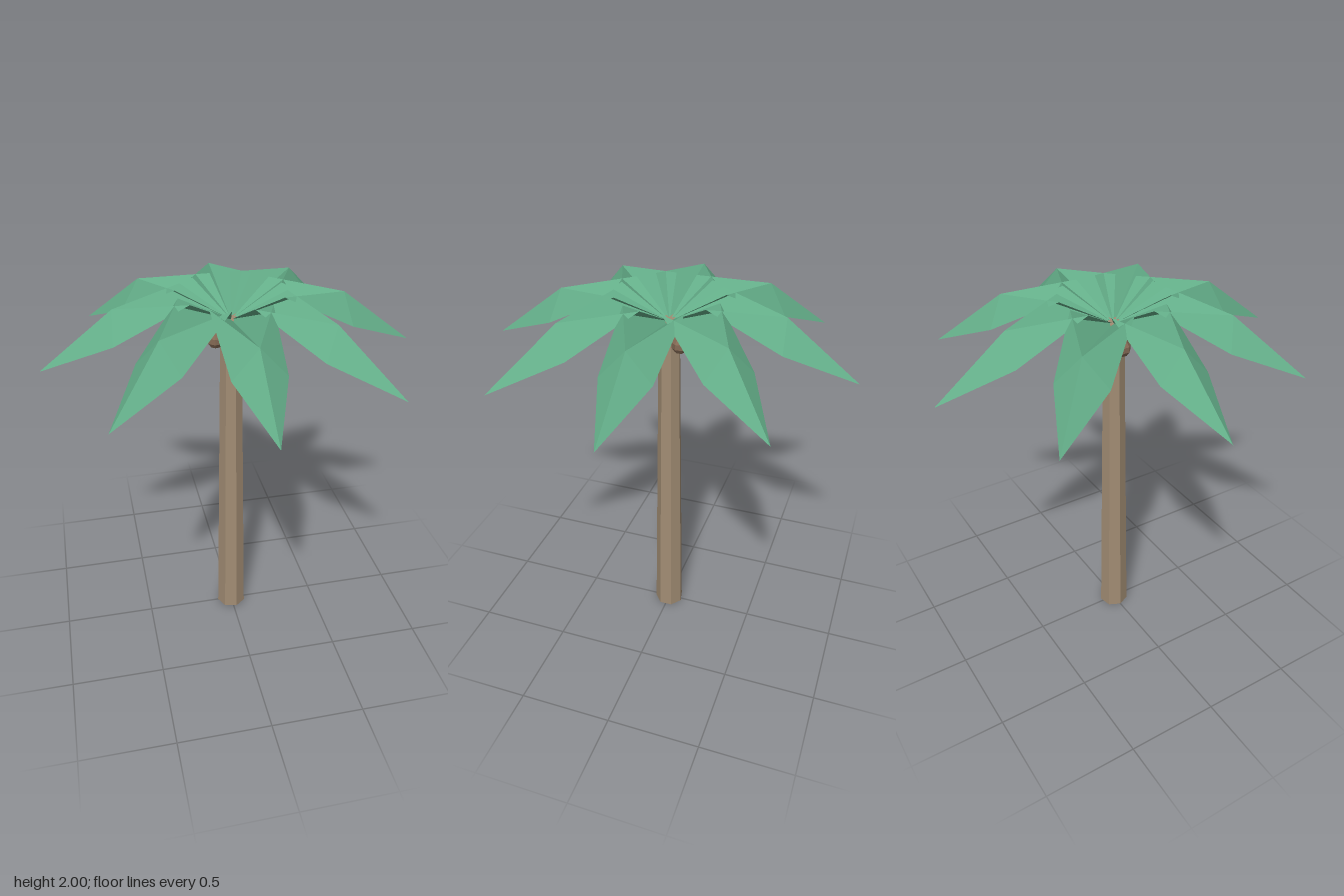
import * as THREE from 'three';

const flat = (g) => {
  const f = g.index ? g.toNonIndexed() : g;
  f.computeVertexNormals();
  return f;
};

// One folded frond pointing along +x: cupped near the crown, ridged towards the tip
function frondGeometry() {
  const root = [0, 1.85, 0], ridge = [0.585, 1.95, 0], tip = [0.96, 1.66, 0];
  const points = [];
  for (const s of [1, -1]) {
    const shoulder = [0.23, 2.0, 0.153 * s], edge = [0.6, 1.81, 0.13 * s];
    const faces = [[root, shoulder, ridge], [shoulder, edge, ridge], [edge, tip, ridge]];
    for (const [a, b, c] of faces) points.push(...(s > 0 ? [a, b, c] : [a, c, b]));
  }
  const g = new THREE.BufferGeometry();
  g.setAttribute('position', new THREE.Float32BufferAttribute(points.flat(), 3));
  g.computeVertexNormals();
  return g;
}

export function createModel() {
  const group = new THREE.Group();
  const material = (name, color) => {
    const m = new THREE.MeshStandardMaterial({ color });
    m.name = name;
    return m;
  };
  const bark = material('bark', 0xa18c73);
  const husk = material('husk', 0x846a55);
  const leaf = material('leaf', 0x63ad88);
  leaf.side = THREE.DoubleSide;

  const add = (name, geometry, mat) => {
    const mesh = new THREE.Mesh(geometry, mat);
    mesh.name = name;
    group.add(mesh);
    return mesh;
  };

  // Seven-sided tapering trunk
  const trunk = new THREE.CylinderGeometry(0.055, 0.082, 1.862, 7, 1, false, -Math.PI / 2);
  add('trunk', flat(trunk), bark).position.y = 0.931;

  // Eight fronds fanned around the crown
  const frond = frondGeometry();
  for (let i = 0; i < 8; i++) add('frond', frond, leaf).rotation.y = (i * Math.PI) / 4;

  // Three coconuts beneath the crown
  const nut = flat(new THREE.SphereGeometry(0.046, 7, 5));
  for (let i = 0; i < 3; i++) {
    const a = Math.PI + (i * Math.PI * 2) / 3;
    const mesh = add('coconut', nut, husk);
    mesh.position.set(0.08 * Math.cos(a), 1.75, 0.08 * Math.sin(a));
    mesh.rotation.y = -a;
  }
  return group;
}
